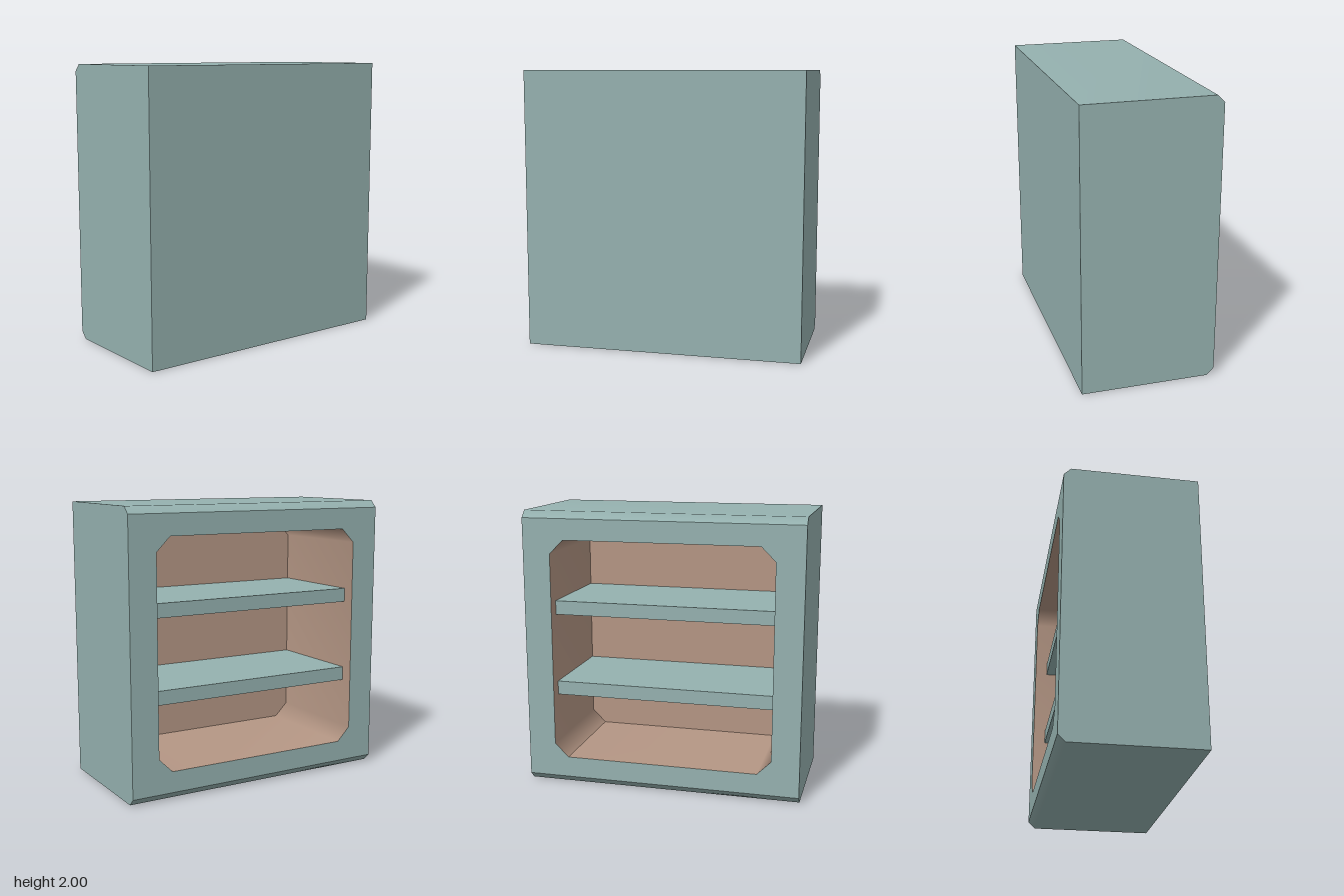
import * as THREE from 'three';

const FRONT = -0.475, BACK = 0.475, INNER = 0.375;

// Ruled surface between two matching rows of points
function strip(a, b, material, name) {
  const n = a.length, index = [];
  for (let i = 0; i < n - 1; i++) index.push(i, i + 1, n + i + 1, i, n + i + 1, n + i);
  const geo = new THREE.BufferGeometry().setFromPoints([...a, ...b]);
  geo.setIndex(index);
  geo.computeVertexNormals();
  return named(geo, material, name);
}

function named(geo, material, name) {
  const mesh = new THREE.Mesh(geo, material);
  mesh.name = name;
  return mesh;
}

const toShape = (pts) => new THREE.Shape(pts.map(([x, y]) => new THREE.Vector2(x, y)));

// Flat panel drawn in (z, y), facing -x
function sidePanel(shape, x, material, name) {
  const geo = new THREE.ShapeGeometry(shape).rotateY(-Math.PI / 2).translate(x, 0, 0);
  return named(geo, material, name);
}

export function createModel() {
  const group = new THREE.Group();
  group.name = 'shelfCabinet';
  const teal = new THREE.MeshStandardMaterial({ color: 0x95b1af });
  teal.name = 'casing teal';
  const brown = new THREE.MeshStandardMaterial({ color: 0xb49684 });
  brown.name = 'interior brown';

  // Outer casing: bevelled top, back and bevelled bottom, swept along z
  const top = [[FRONT, 1.95], [-0.425, 2], [BACK, 2]];
  const back = [[BACK, 2], [BACK, 0]];
  const bottom = [[BACK, 0], [-0.425, 0], [FRONT, 0.05]];
  const row = (pts, z) => pts.map(([x, y]) => new THREE.Vector3(x, y, z));
  for (const [name, pts] of Object.entries({ top, back, bottom })) {
    group.add(strip(row(pts, 1), row(pts, -1), teal, name + 'Casing'));
  }

  // End walls
  const profile = toShape([...top, ...bottom]);
  const ends = [1, -1].map((s) => {
    const end = named(new THREE.ShapeGeometry(profile), teal, s > 0 ? 'frontEndWall' : 'backEndWall');
    end.position.z = s;
    return end;
  });
  // Reverse the far end so it faces outwards
  const idx = ends[1].geometry.index.array;
  for (let i = 0; i < idx.length; i += 3) [idx[i], idx[i + 1]] = [idx[i + 1], idx[i]];
  ends[1].geometry.computeVertexNormals();
  group.add(...ends);

  // Face frame with a cut-corner opening
  const opening = [[-0.7, 0.2], [0.7, 0.2], [0.8, 0.3], [0.8, 1.7],
    [0.7, 1.8], [-0.7, 1.8], [-0.8, 1.7], [-0.8, 0.3]];
  const frame = toShape([[-1, 0.05], [1, 0.05], [1, 1.95], [-1, 1.95]]);
  frame.holes.push(toShape(opening));
  group.add(sidePanel(frame, FRONT, teal, 'faceFrame'));

  // Cavity lining and its rear panel
  const ring = (x) => [...opening, opening[0]].map(([z, y]) => new THREE.Vector3(x, y, z));
  group.add(strip(ring(FRONT), ring(INNER), brown, 'cavityLining'));
  group.add(sidePanel(toShape(opening), INNER, brown, 'cavityRear'));

  // Two shelves, set back from the face
  for (const y of [0.7, 1.3]) {
    const shelf = named(new THREE.BoxGeometry(0.76, 0.1, 1.6), teal, 'shelf');
    shelf.position.set(-0.005, y, 0);
    group.add(shelf);
  }
  return group;
}
